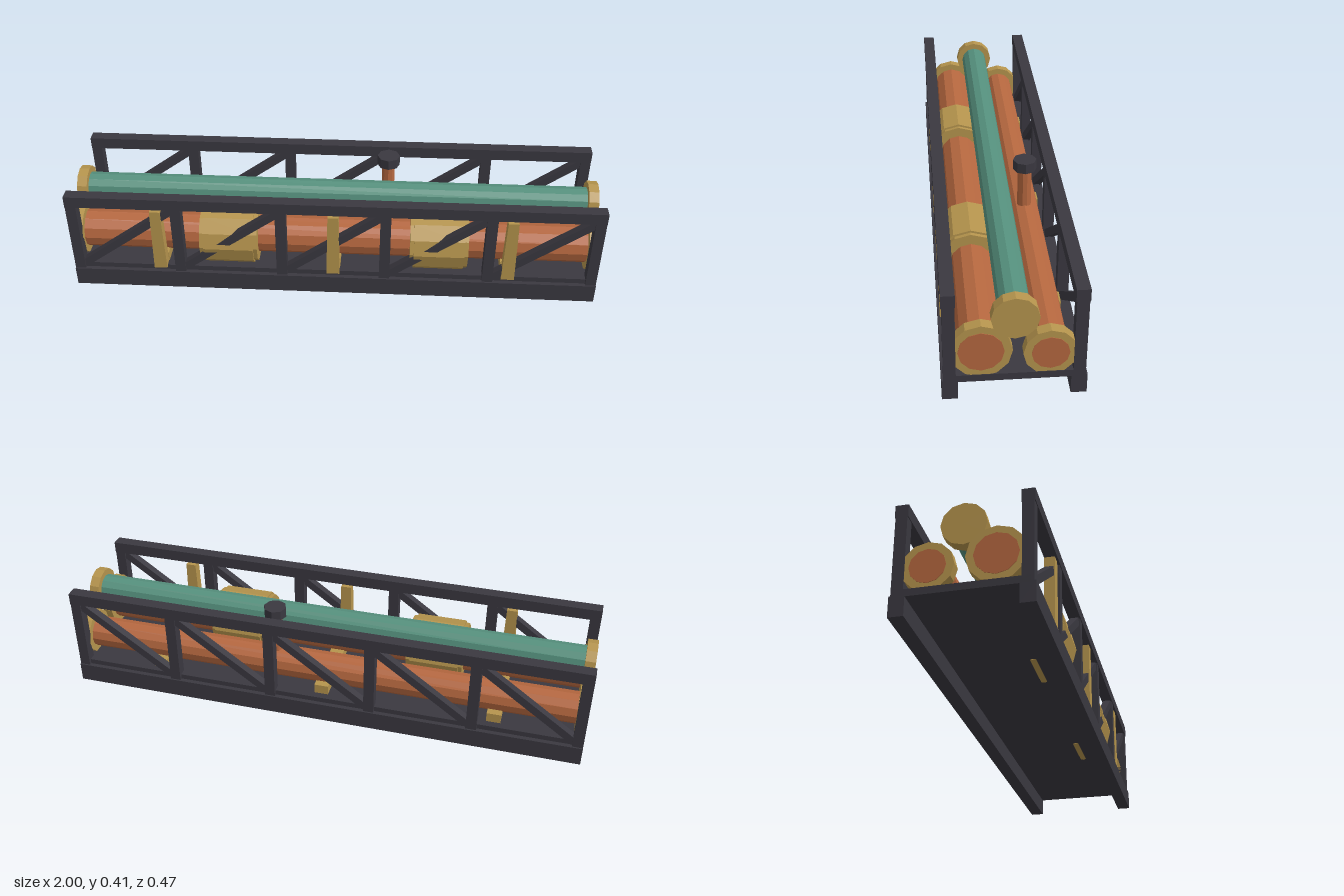
import * as THREE from 'three';

const paint = (name, color, flat = true) => {
  const m = new THREE.MeshStandardMaterial({ color, flatShading: flat });
  m.name = name;
  return m;
};

export function createModel() {
  const model = new THREE.Group();
  model.name = 'pipeRack';
  const steel = paint('darkSteel', 0x3a3840);
  const copper = paint('copper', 0xb5673f);
  const brass = paint('brass', 0xb5944d);
  const teal = paint('tealPipe', 0x55907d);

  const add = (name, geo, mat, x, y, z) => {
    const mesh = new THREE.Mesh(geo, mat);
    mesh.name = name;
    mesh.position.set(x, y, z);
    model.add(mesh);
    return mesh;
  };
  const box = (name, mat, w, h, d, x, y, z) =>
    add(name, new THREE.BoxGeometry(w, h, d), mat, x, y, z);
  // cylinder lying along x
  const rod = (name, mat, r, len, x, y, z, sides = 12) =>
    add(name, new THREE.CylinderGeometry(r, r, len, sides).rotateZ(Math.PI / 2), mat, x, y, z);

  // deck
  box('deck', steel, 2, 0.026, 0.432, 0, 0.081, 0);

  // two side trusses: beam, rail, posts and diagonals
  const bay = 0.392;
  for (const s of [1, -1]) {
    const z = s * 0.207;
    box('bottomBeam', steel, 2, 0.074, 0.052, 0, 0.037, z);
    box('topRail', steel, 2, 0.045, 0.045, 0, 0.3845, z);
    for (let i = 0; i < 6; i++) {
      const x = -0.98 + i * bay;
      box('post', steel, 0.04, 0.295, 0.04, x, 0.217, z);
      if (i === 5) continue;
      const rise = 0.285;
      const brace = box('diagonalBrace', steel, Math.hypot(bay, rise), 0.03, 0.03, x + bay / 2, 0.222, z);
      brace.rotation.z = Math.atan2(rise, bay);
    }
  }

  // three long pipes with end flanges
  const pipes = [
    { name: 'frontPipe', mat: copper, y: 0.185, z: 0.107, r: 0.074, flange: 0.1, len: 2 },
    { name: 'backPipe', mat: copper, y: 0.168, z: -0.113, r: 0.061, flange: 0.087, len: 2 },
    { name: 'upperPipe', mat: teal, y: 0.308, z: 0, r: 0.053, flange: 0.077, len: 1.95 },
  ];
  for (const p of pipes) {
    rod(p.name, p.mat, p.r, p.len, 0, p.y, p.z);
    for (const s of [1, -1]) rod(p.name + 'Flange', brass, p.flange, 0.038, s * 0.979, p.y, p.z);
  }

  // stepped collars on the front pipe
  for (const x of [-0.4, 0.4]) {
    rod('collarBody', brass, 0.12, 0.19, x, 0.185, 0.107);
    rod('collarRim', brass, 0.112, 0.22, x, 0.185, 0.107);
  }

  // cross supports with a tapered upright at the front
  for (const x of [-0.665, 0, 0.665]) {
    box('crossSupport', brass, 0.054, 0.042, 0.376, x, 0.11, 0);
    const geo = new THREE.BoxGeometry(0.05, 0.262, 0.038);
    const pos = geo.attributes.position;
    for (let i = 0; i < pos.count; i++) if (pos.getY(i) > 0) pos.setX(i, pos.getX(i) * 0.8);
    geo.computeVertexNormals();
    add('supportUpright', geo, brass, x, 0.218, 0.207);
  }

  // vertical valve stem and its cap
  add('valveStem', new THREE.CylinderGeometry(0.026, 0.026, 0.19, 10), copper, 0.2, 0.285, -0.113);
  add('valveCap', new THREE.CylinderGeometry(0.0435, 0.0435, 0.039, 8), steel, 0.2, 0.3945, -0.113);

  return model;
}
